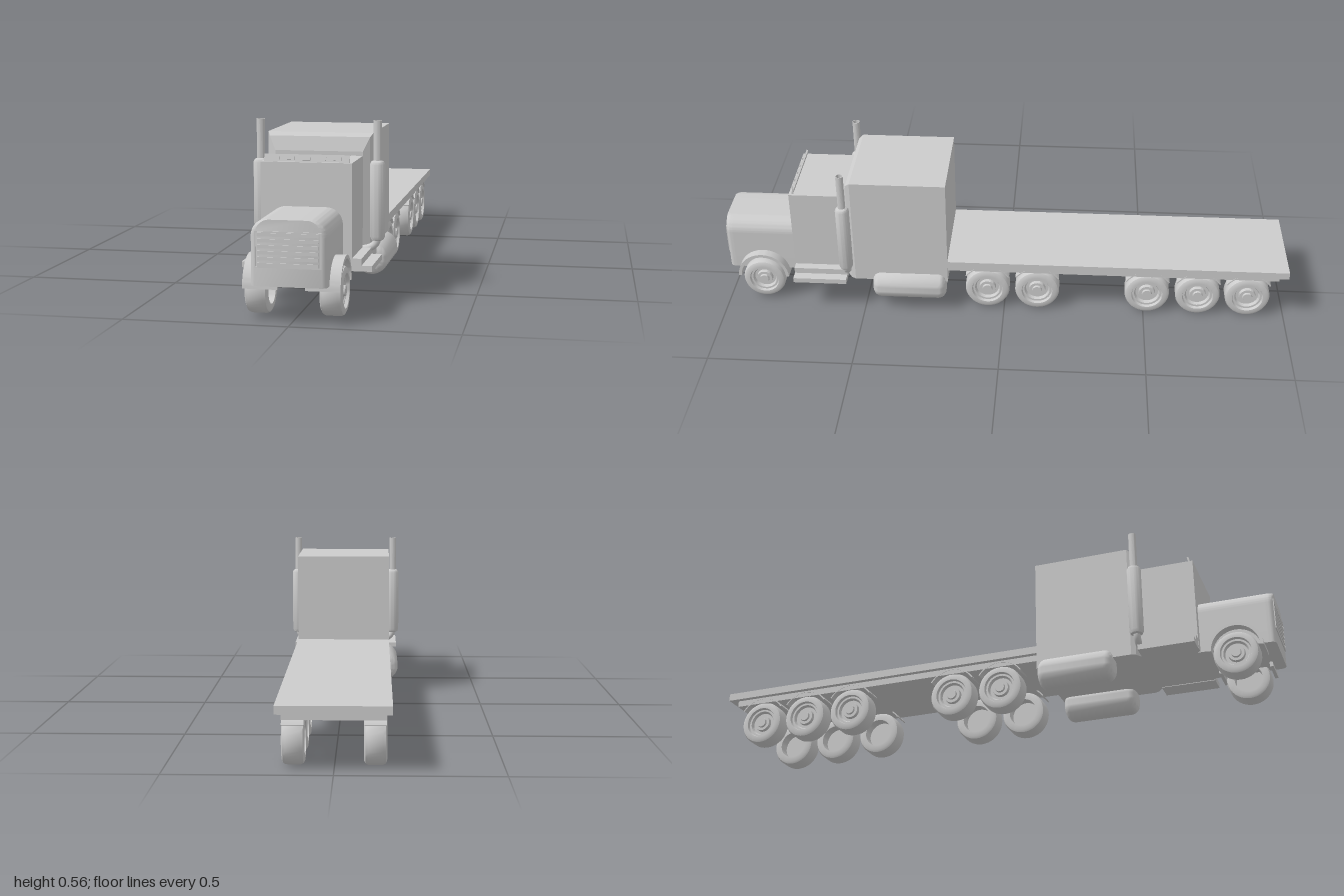
import * as THREE from 'three';
import { toCreasedNormals } from 'three/addons/utils/BufferGeometryUtils.js';
import { ConvexGeometry } from 'three/addons/geometries/ConvexGeometry.js';

const mat = new THREE.MeshStandardMaterial({ color: 0xcccccc });
const thinMat = new THREE.MeshStandardMaterial({ color: 0xcccccc, side: THREE.DoubleSide });

export function createModel() {
  const truck = new THREE.Group();
  const add = (name, geo, x = 0, y = 0, z = 0, m = mat) => {
    const mesh = new THREE.Mesh(geo, m);
    mesh.name = name;
    mesh.position.set(x, y, z);
    truck.add(mesh);
    return mesh;
  };
  // box given by its min and max on each axis
  const box = (name, x0, x1, y0, y1, z0, z1) =>
    add(name, new THREE.BoxGeometry(x1 - x0, y1 - y0, z1 - z0), (x0 + x1) / 2, (y0 + y1) / 2, (z0 + z1) / 2);
  const lathe = (pts, seg = 36) =>
    toCreasedNormals(new THREE.LatheGeometry(pts.map(p => new THREE.Vector2(...p)), seg), 0.6);
  // curved strip over a wheel, running along x
  const arch = (rIn, rOut, a0, a1, width) => {
    const s = new THREE.Shape();
    s.absarc(0, 0, rOut, a0, a1, false);
    s.absarc(0, 0, rIn, a1, a0, true);
    const g = new THREE.ExtrudeGeometry(s, { depth: width, bevelEnabled: false, curveSegments: 20 });
    g.translate(0, 0, -width / 2);
    g.rotateY(Math.PI / 2);
    return toCreasedNormals(g, 0.5);
  };

  // Hood: rounded top, sides curving in at the nose
  const hw = 0.113, hr = 0.05, depth = 0.255;
  const hs = new THREE.Shape();
  hs.moveTo(-hw, 0.115);
  hs.lineTo(hw, 0.115);
  hs.lineTo(hw, 0.31 - hr);
  hs.absarc(hw - hr, 0.31 - hr, hr, 0, Math.PI / 2, false);
  hs.absarc(-hw + hr, 0.31 - hr, hr, Math.PI / 2, Math.PI, false);
  const hood = new THREE.ExtrudeGeometry(hs, { depth, steps: 50, bevelEnabled: false, curveSegments: 10 });
  const hp = hood.attributes.position, nose = 0.02;
  for (let i = 0; i < hp.count; i++) {
    const t = Math.max(0, hp.getZ(i) - (depth - nose));
    const inset = nose - Math.sqrt(Math.max(0, nose * nose - t * t));
    hp.setX(i, hp.getX(i) * (hw - inset * 0.7) / hw);
  }
  add('hood', toCreasedNormals(hood, 0.6), 0, 0, 0.742);

  // Grille: frame around horizontal slats
  const frame = new THREE.Shape([[-0.098, 0.17], [0.098, 0.17], [0.098, 0.276], [-0.098, 0.276]].map(p => new THREE.Vector2(...p)));
  frame.holes.push(new THREE.Path([[-0.094, 0.174], [-0.094, 0.272], [0.094, 0.272], [0.094, 0.174]].map(p => new THREE.Vector2(...p))));
  add('grilleFrame', new THREE.ExtrudeGeometry(frame, { depth: 0.004, bevelEnabled: false }), 0, 0, 0.996);
  for (let i = 0; i < 6; i++) {
    const y = 0.179 + i * 0.0175;
    box('grilleSlat', -0.09, 0.09, y - 0.005, y + 0.005, 0.996, 1.0);
  }

  // Cab and sun visor with marker lights
  box('cab', -0.141, 0.141, 0.118, 0.445, 0.54, 0.75);
  const visor = box('visor', -0.132, 0.132, 0.443, 0.467, 0.732, 0.738);
  visor.rotation.x = -0.25;
  for (let i = -2; i <= 2; i++) {
    const light = box('markerLight', i * 0.048 - 0.012, i * 0.048 + 0.012, 0.45, 0.46, 0.734, 0.744);
    light.rotation.x = -0.25;
  }

  // Sleeper: box with a rounded-off front
  const rings = [[0.2, 0.17, 0.515], [0.53, 0.17, 0.515], [0.545, 0.162, 0.503], [0.558, 0.141, 0.458]];
  const pts = [];
  for (const [z, w, top] of rings)
    for (const s of [-1, 1]) pts.push(new THREE.Vector3(s * w, 0.118, z), new THREE.Vector3(s * w, top, z));
  add('sleeper', new ConvexGeometry(pts));

  // Flat bed
  box('bedDeck', -0.17, 0.17, 0.177, 0.203, -1, 0.201);
  box('bedFrame', -0.153, 0.153, 0.155, 0.177, -0.97, 0.2);

  // Wheel: hollow at the back, stepped rim on the outside
  const wheelGeo = lathe([
    [0, 0.005], [0.05, 0.005], [0.05, -0.034], [0.067, -0.034], [0.075, -0.03], [0.079, -0.022],
    [0.079, 0.022], [0.075, 0.03], [0.067, 0.034], [0.055, 0.034], [0.052, 0.024], [0.045, 0.024],
    [0.04, 0.014], [0.03, 0.014], [0.028, 0.026], [0.018, 0.026], [0.016, 0.033], [0, 0.033]], 40);
  const frontArch = arch(0.08, 0.091, 0, Math.PI, 0.105);
  const rearArch = arch(0.09, 0.094, 0.6, Math.PI - 0.6, 0.066);

  // Fuel tank with rounded ends
  const tankPts = [];
  for (const e of [-1, 1])
    for (let i = 0; i <= 6; i++) {
      const a = (e < 0 ? i : 6 - i) / 6 * Math.PI / 2;
      tankPts.push([0.026 + 0.028 * Math.sin(a), e * (0.102 + 0.028 * Math.cos(a))]);
    }
  const tankGeo = lathe([[0, -0.13], ...tankPts, [0, 0.13]]);
  tankGeo.rotateX(Math.PI / 2);

  // Exhaust stack: thin pipe above a wide muffler
  const stackGeo = lathe([[0, 0.178], [0.014, 0.178], [0.02, 0.181], [0.024, 0.19], [0.024, 0.42], [0.02, 0.428],
    [0.013, 0.432], [0.013, 0.558], [0.011, 0.558], [0.011, 0.5], [0, 0.5]], 28);

  for (const s of [-1, 1]) {
    const wheel = (name, x, y, z, scale) => {
      const w = add(name, wheelGeo, s * x, y, z);
      w.rotation.z = -s * Math.PI / 2;
      w.scale.set(scale, 1, scale);
    };
    wheel('frontWheel', 0.112, 0.083, 0.87, 0.95);
    add('frontFender', frontArch, s * 0.0935, 0.098, 0.87);
    for (const z of [0.06, -0.118, -0.51, -0.69, -0.866]) {
      wheel('rearWheel', 0.121, 0.079, z, 1);
      add('rearFender', rearArch, s * 0.121, 0.081, z);
    }
    add('fuelTank', tankGeo, s * 0.151, 0.097, 0.337);
    add('exhaustStack', stackGeo, s * 0.188, 0, 0.557);
    const elbow = new THREE.QuadraticBezierCurve3(new THREE.Vector3(s * 0.188, 0.184, 0.557),
      new THREE.Vector3(s * 0.184, 0.151, 0.557), new THREE.Vector3(s * 0.135, 0.148, 0.557));
    add('exhaustElbow', new THREE.TubeGeometry(elbow, 16, 0.012, 16), 0, 0, 0, thinMat);
    // two-tier step below the door
    const step = (name, w, y0, y1) => box(name, Math.min(s * 0.13, s * w), Math.max(s * 0.13, s * w), y0, y1, 0.56, 0.749);
    step('lowerStep', 0.203, 0.116, 0.134);
    step('upperStep', 0.17, 0.134, 0.155);
  }
  return truck;
}
